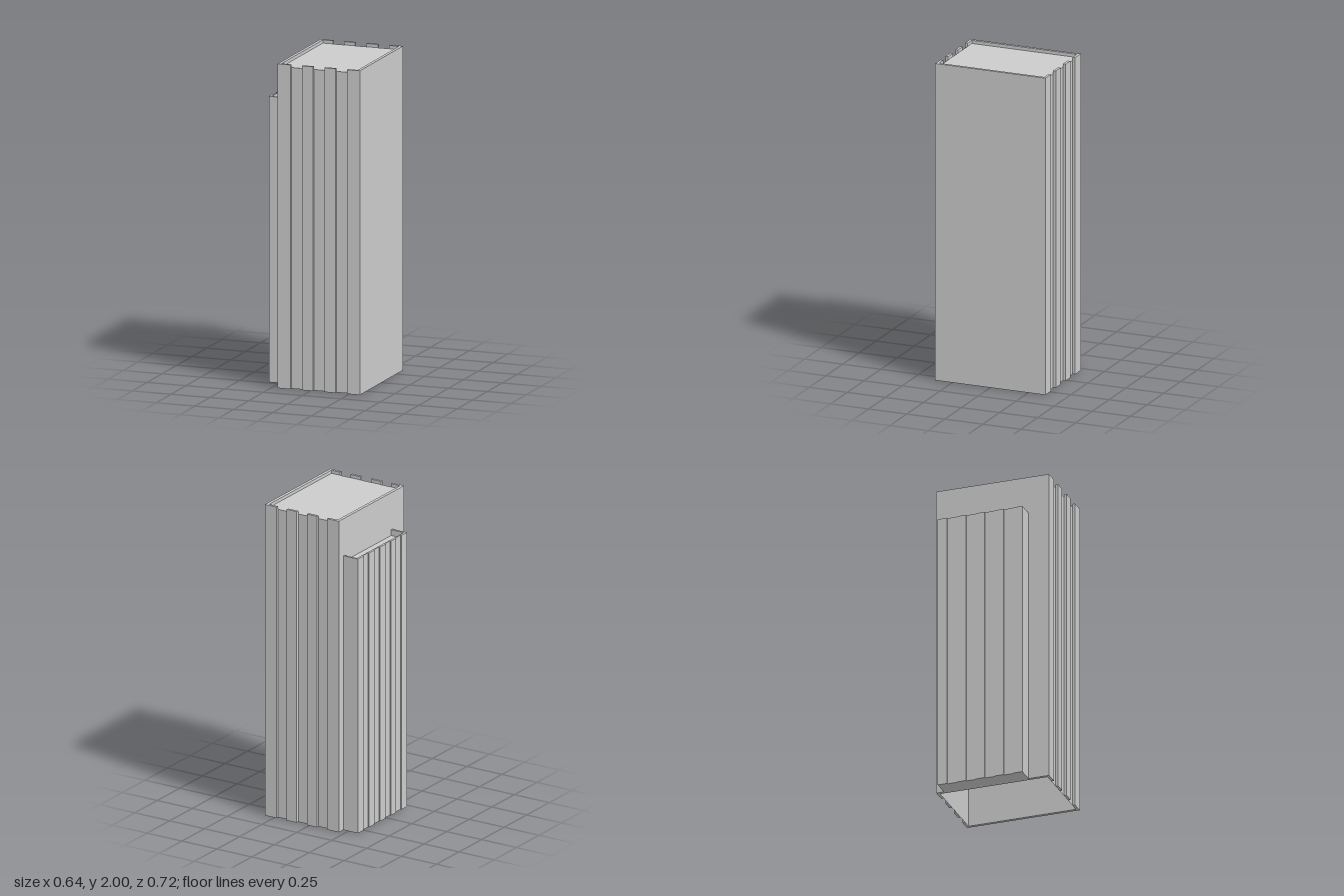
import * as THREE from 'three';

const material = new THREE.MeshStandardMaterial({ color: 0xcccccc, flatShading: true, side: THREE.DoubleSide });

function add(group, name, geometry) {
  const mesh = new THREE.Mesh(geometry, material);
  mesh.name = name;
  group.add(mesh);
  return mesh;
}

// Box given by its limits on each axis
function box(group, name, [x0, x1], [y0, y1], [z0, z1]) {
  const mesh = add(group, name, new THREE.BoxGeometry(x1 - x0, y1 - y0, z1 - z0));
  mesh.position.set((x0 + x1) / 2, (y0 + y1) / 2, (z0 + z1) / 2);
}

// Plan outline of [x, z] points raised from y0 to y1
function prism(group, name, points, y0, y1) {
  const shape = new THREE.Shape(points.map(([x, z]) => new THREE.Vector2(x, -z)));
  const geometry = new THREE.ExtrudeGeometry(shape, { depth: y1 - y0, bevelEnabled: false });
  geometry.rotateX(-Math.PI / 2).translate(0, y0, 0);
  add(group, name, geometry);
}

export function createModel() {
  const model = new THREE.Group();
  model.name = 'towerBlock';

  // Main tower: hollow shell, open underneath
  const tower = new THREE.Group();
  tower.name = 'mainTower';
  model.add(tower);
  const left = 0.318, right = -0.212, wall = 0.02;
  const panelZ = 0.345, ribZ = 0.362, roofY = 1.98;
  const innerWidth = left - right - 2 * wall, midX = (left + right) / 2;

  box(tower, 'leftWall', [left - wall, left], [0, 2], [-panelZ, panelZ]);
  box(tower, 'rightWall', [right, right + wall], [0, 2], [-panelZ, panelZ]);

  const roof = new THREE.PlaneGeometry(innerWidth, 2 * panelZ).rotateX(-Math.PI / 2);
  add(tower, 'towerRoof', roof).position.set(midX, roofY, 0);

  // Recessed panels and upright ribs on the front and back
  const ribs = [[right, -0.128], [-0.055, 0.016], [0.09, 0.162], [0.236, left]];
  for (const side of [1, -1]) {
    const face = side > 0 ? 'front' : 'back';
    const panel = add(tower, face + 'Panel', new THREE.PlaneGeometry(innerWidth, roofY));
    panel.position.set(midX, roofY / 2, side * panelZ);
    if (side < 0) panel.rotation.y = Math.PI;
    const depth = side > 0 ? [panelZ, ribZ] : [-ribZ, -panelZ];
    ribs.forEach((x) => box(tower, face + 'Rib', x, [0, 2], depth));
  }

  // Lower side wing with a notched outer face
  const wing = new THREE.Group();
  wing.name = 'sideWing';
  model.add(wing);
  const outerX = -0.318, notchX = -0.311, innerX = -0.303;
  const backZ = -0.313, frontZ = 0.23, wingRoofY = 1.725, wingTop = 1.763;
  const outer = [[right, backZ], [outerX, backZ]];
  for (let i = 0; i < 4; i++) {
    const z0 = -0.252 + i * 0.1205, z1 = z0 + 0.06;
    outer.push([outerX, z0], [notchX, z0], [notchX, z1], [outerX, z1]);
  }
  outer.push([outerX, frontZ], [right, frontZ]);
  prism(wing, 'wingBody', outer, 0, wingRoofY);

  // Parapet around the three free sides of the wing roof
  const inner = [[right, 0.217], [innerX, 0.217], [innerX, -0.302], [right, -0.302]];
  prism(wing, 'wingParapet', [...outer, ...inner], wingRoofY, wingTop);

  return model;
}
